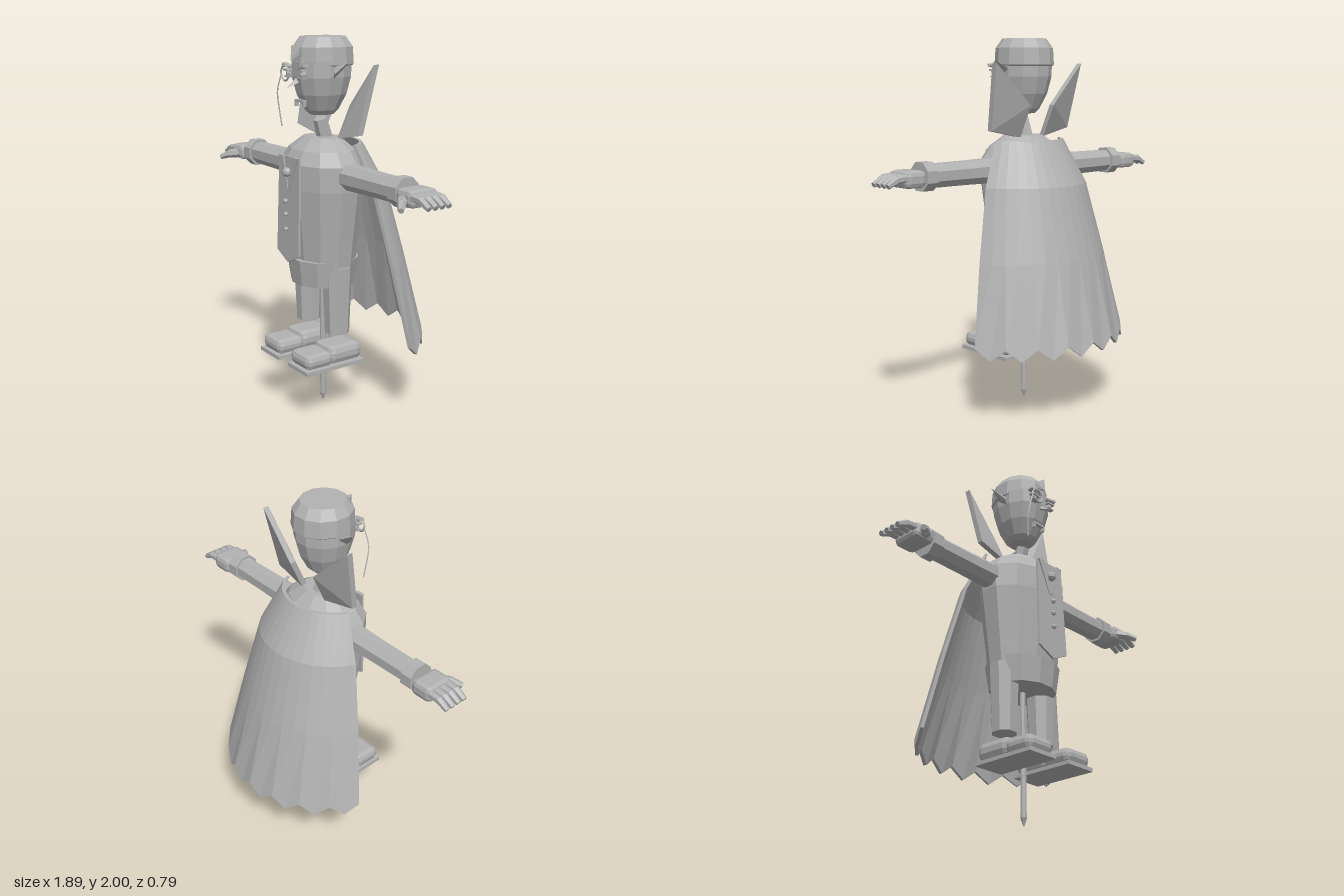
import * as THREE from 'three';
import { RoundedBoxGeometry } from 'three/addons/geometries/RoundedBoxGeometry.js';
import { ConvexGeometry } from 'three/addons/geometries/ConvexGeometry.js';

const V = (x, y, z) => new THREE.Vector3(x, y, z);
const AXIS_Z = 0.14; // depth of the body's centre line

export function createModel() {
  const model = new THREE.Group();
  const grey = new THREE.MeshStandardMaterial({ color: 0xb2b2b2 });
  grey.name = 'plain grey';

  // Faceted mesh from any geometry
  function add(name, geometry, x = 0, y = 0, z = 0, parent = model) {
    const g = geometry.index ? geometry.toNonIndexed() : geometry;
    g.deleteAttribute('normal');
    g.computeVertexNormals();
    const mesh = new THREE.Mesh(g, grey);
    mesh.name = name;
    mesh.position.set(x, y, z);
    parent.add(mesh);
    return mesh;
  }
  const box = (w, h, d) => new THREE.BoxGeometry(w, h, d);
  const chamfer = (w, h, d, r) => new RoundedBoxGeometry(w, h, d, 1, r);

  // Tapered bar between two points
  function bar(name, a, b, ra, rb = ra, sides = 6, parent = model) {
    const g = new THREE.CylinderGeometry(rb, ra, a.distanceTo(b), sides);
    g.rotateY(Math.PI / sides);
    const mid = a.clone().add(b).multiplyScalar(0.5);
    const mesh = add(name, g, mid.x, mid.y, mid.z, parent);
    mesh.quaternion.setFromUnitVectors(V(0, 1, 0), b.clone().sub(a).normalize());
    return mesh;
  }

  // Turned body part with a flat side facing forward; profile runs bottom to top
  function turned(name, profile, sides, depth) {
    const g = new THREE.LatheGeometry(profile.map(p => new THREE.Vector2(...p)), sides);
    g.rotateY(Math.PI / sides);
    g.scale(1, 1, depth);
    return add(name, g, 0, 0, AXIS_Z);
  }

  // Flat outline given depth
  function plate(name, points, depth, z) {
    const shape = new THREE.Shape(points.map(p => new THREE.Vector2(...p)));
    return add(name, new THREE.ExtrudeGeometry(shape, { depth, bevelEnabled: false }), 0, 0, z);
  }

  // Torso, hips and neck
  turned('torso', [[0, 0.82], [0.21, 0.82], [0.225, 0.95], [0.262, 1.23], [0.262, 1.36], [0.21, 1.43],
    [0.12, 1.488], [0, 1.488]], 12, 0.74);
  turned('hips', [[0, 0.71], [0.185, 0.71], [0.207, 0.85], [0, 0.85]], 12, 0.9);
  bar('neck', V(0, 1.46, 0.115), V(0, 1.58, 0.15), 0.042, 0.036, 6);

  // Shirt front, lapels, brooch and buttons
  const shirt = plate('shirtFront', [[-0.095, 1.4], [-0.105, 0.89], [0, 0.84], [0.105, 0.89], [0.095, 1.4]], 0.012, 0);
  shirt.geometry.translate(0, -1.4, 0);
  shirt.position.set(0, 1.4, 0.33);
  shirt.rotation.x = -0.03;
  for (const s of [1, -1]) {
    const lapel = [[s * 0.09, 1.4], [s * 0.045, 1.4], [0, 1.22], [s * 0.012, 1.21]];
    plate('lapel', s > 0 ? lapel : lapel.reverse(), 0.008, 0.343);
  }
  add('brooch', new THREE.SphereGeometry(0.025, 8, 5), 0, 1.32, 0.355);
  for (const y of [1.17, 1.1, 1.02]) add('button', new THREE.SphereGeometry(0.014, 6, 4), 0, y, 0.366);

  // Head and hair
  turned('head', [[0, 1.603], [0.06, 1.605], [0.085, 1.63], [0.125, 1.71], [0.148, 1.8], [0.15, 1.88], [0, 1.88]], 12, 1.08);
  turned('hair', [[0.146, 1.855], [0.155, 1.862], [0.15, 1.95], [0.115, 2], [0, 2]], 12, 1.06).position.z = 0.13;
  add('widowsPeak', new ConvexGeometry([V(-0.026, 1.95, 0.28), V(0.026, 1.95, 0.28), V(0, 1.96, 0.32),
    V(0, 1.885, 0.325), V(-0.02, 1.91, 0.285), V(0.02, 1.91, 0.285)]));

  // Face
  add('nose', new ConvexGeometry([V(0, 1.8, 0.29), V(-0.016, 1.775, 0.285), V(0.016, 1.775, 0.285), V(0, 1.745, 0.355)]));
  add('moustache', box(0.08, 0.012, 0.02), 0, 1.68, 0.27);
  for (const s of [1, -1]) {
    add('moustacheEnd', box(0.01, 0.03, 0.02), s * 0.036, 1.666, 0.268);
    add('eye', new THREE.SphereGeometry(0.02, 8, 5), s * 0.063, 1.815, 0.292);
    add('eyelid', box(0.055, 0.01, 0.03), s * 0.063, 1.832, 0.3).rotation.z = s * 0.1;
    add('lowerLid', box(0.045, 0.008, 0.025), s * 0.063, 1.8, 0.298);
    add('eyebrow', box(0.07, 0.013, 0.03), s * 0.066, 1.855, 0.3).rotation.z = s * 0.22;
    // Pointed ears
    add('ear', new ConvexGeometry([V(s * 0.135, 1.85, 0.15), V(s * 0.135, 1.79, 0.16), V(s * 0.14, 1.84, 0.1),
      V(s * 0.165, 1.82, 0.17), V(s * 0.22, 1.885, 0.12)]));
  }
  add('monocle', new THREE.TorusGeometry(0.038, 0.006, 4, 14), -0.063, 1.818, 0.32);
  const chain = new THREE.CatmullRomCurve3([V(-0.1, 1.81, 0.32), V(-0.132, 1.72, 0.325), V(-0.137, 1.65, 0.315), V(-0.125, 1.54, 0.305)]);
  add('monocleChain', new THREE.TubeGeometry(chain, 8, 0.004, 4));

  for (const s of [1, -1]) {
    const P = (x, y, z) => V(s * x, y, z);

    // Sleeve and cuff
    bar('upperSleeve', P(0.2, 1.31, 0.135), P(0.42, 1.31, 0.135), 0.072, 0.066, 8);
    bar('lowerSleeve', P(0.42, 1.31, 0.135), P(0.65, 1.31, 0.135), 0.066, 0.064, 8);
    bar('cuff', P(0.645, 1.31, 0.135), P(0.71, 1.31, 0.135), 0.078, 0.078, 8);

    // Hand
    const hand = new THREE.Group();
    hand.name = 'hand';
    model.add(hand);
    add('palm', chamfer(0.125, 0.085, 0.165, 0.025), s * 0.78, 1.305, 0.137, hand);
    for (const z of [0.077, 0.116, 0.156, 0.196]) {
      bar('fingerBase', P(0.83, 1.315, z), P(0.885, 1.312, z), 0.022, 0.021, 6, hand);
      bar('fingerTip', P(0.88, 1.314, z), P(0.94, 1.282, z), 0.021, 0.015, 6, hand);
    }
    bar('thumbBase', P(0.765, 1.3, 0.2), P(0.81, 1.29, 0.25), 0.028, 0.024, 6, hand);
    bar('thumbTip', P(0.805, 1.292, 0.245), P(0.85, 1.27, 0.285), 0.023, 0.015, 6, hand);

    // Leg
    bar('leg', V(s * 0.138, 0.45, 0.14), V(s * 0.138, 0.82, 0.14), 0.066, 0.082, 8);

    // Shoe
    add('shoeHeel', chamfer(0.18, 0.1, 0.21, 0.035), s * 0.14, 0.352, 0.14);
    add('shoeToe', chamfer(0.18, 0.08, 0.165, 0.03), s * 0.14, 0.342, 0.305);
    add('sole', box(0.188, 0.02, 0.365), s * 0.141, 0.293, 0.213);

    // Stand-up collar wing
    const wing = [[0.31, 1.87, 0.02], [0.085, 1.65, 0.005], [0.085, 1.48, 0.085], [0.28, 1.52, 0.095]];
    add('collarWing', new ConvexGeometry(wing.flatMap(([x, y, z]) => [P(x, y, z - 0.016), P(x, y, z + 0.016)])));
  }

  // Support rod with pointed foot
  bar('rod', V(0, 0.05, AXIS_Z), V(0, 0.75, AXIS_Z), 0.016, 0.016, 8);
  bar('rodTip', V(0, 0.005, AXIS_Z), V(0, 0.05, AXIS_Z), 0.001, 0.018, 8);

  // Cape: each row is a circular arc [height, half width, front z, back z]
  const rows = [[0.43, 0.525, -0.055, -0.395], [0.85, 0.44, 0, -0.29], [1.23, 0.35, 0.05, -0.19], [1.465, 0.24, 0.095, -0.06]];
  const columns = 16;
  const cape = new THREE.BoxGeometry(2, 3, 1, columns, 3, 1);
  const p = cape.attributes.position;
  for (let i = 0; i < p.count; i++) {
    const row = Math.round(p.getY(i) + 1.5);
    const column = Math.round((p.getX(i) + 1) * columns / 2);
    const [y, half, front, back] = rows[row];
    const sag = front - back;
    const radius = (half * half + sag * sag) / (2 * sag);
    const angle = p.getX(i) * Math.atan2(half, radius - sag);
    const r = radius - (p.getZ(i) > 0 ? 0.018 : 0);
    const scallop = row === 0 && column % 2 ? 0.06 : 0;
    p.setXYZ(i, r * Math.sin(angle), y - scallop, back + radius - r * Math.cos(angle));
  }
  add('cape', cape);

  return model;
}
